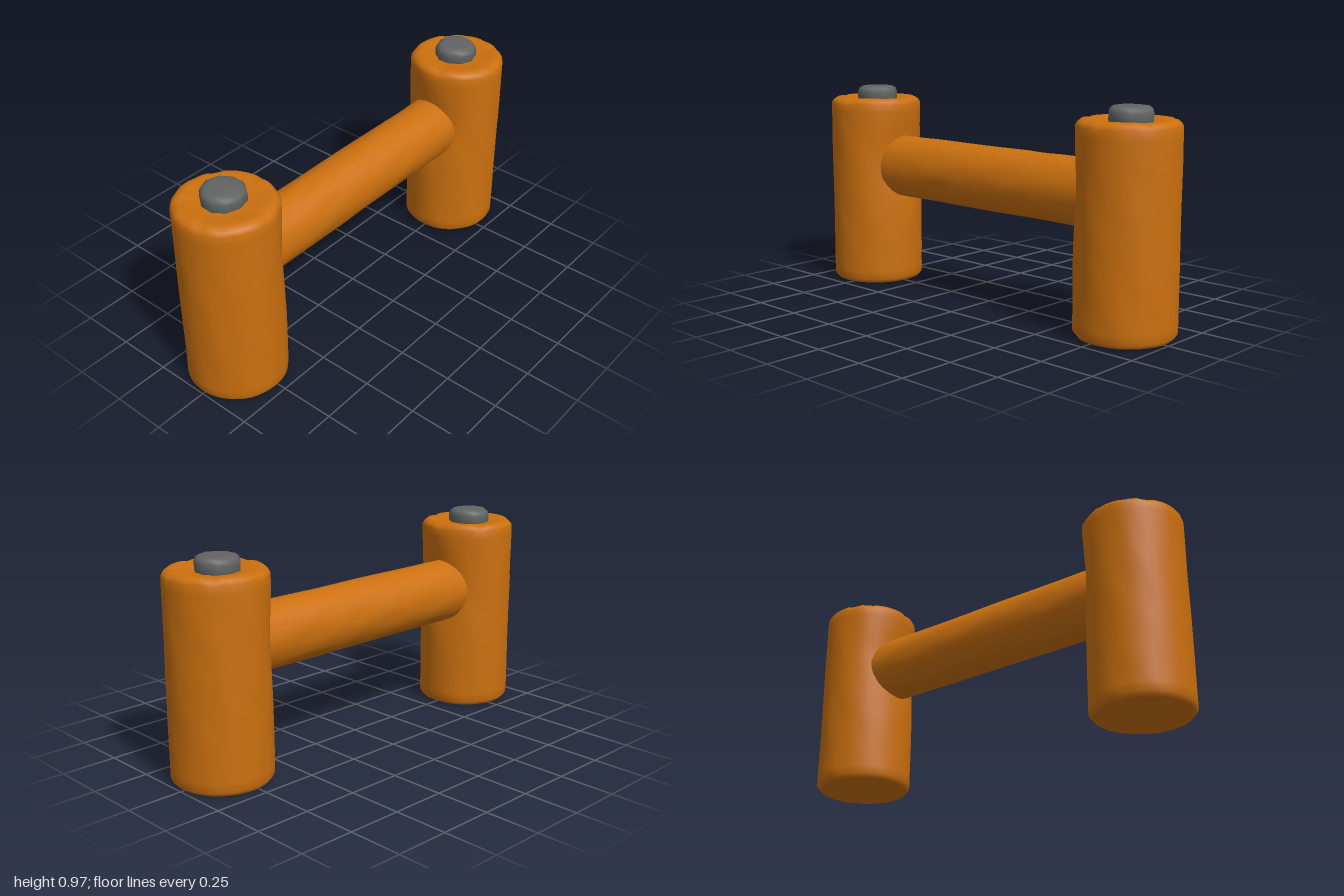
import * as THREE from 'three';
import { mergeVertices } from 'three/addons/utils/BufferGeometryUtils.js';

const POST_X = 0.78;

// Smooth closed lathe whose vertices can be moved by a rule(vertex, angle)
function carvedLathe(profile, sides, rule) {
  let geo = new THREE.LatheGeometry(profile.map(([r, y]) => new THREE.Vector2(r, y)), sides);
  geo.deleteAttribute('uv');
  geo.deleteAttribute('normal');
  geo = mergeVertices(geo, 1e-5);
  const pos = geo.attributes.position;
  const v = new THREE.Vector3();
  for (let i = 0; i < pos.count; i++) {
    v.fromBufferAttribute(pos, i);
    rule(v, Math.atan2(v.x, v.z));
    pos.setXYZ(i, v.x, v.y, v.z);
  }
  geo.computeVertexNormals();
  return geo;
}

// Long shallow grain marks running along the log
function grain(angle, along, seed) {
  const a = Math.sin(5 * angle + 4 * along + seed) * Math.sin(7 * along + 2 * angle + seed * 2);
  const b = Math.sin(11 * angle - 5 * along + seed * 3) * Math.sin(13 * along + 3 * angle);
  return -0.003 * (1 - a) * 0.5 - 0.005 * Math.max(0, b - 0.45);
}

function scaleRadius(v, amount) {
  const r = Math.hypot(v.x, v.z);
  if (r < 1e-4) return;
  const k = (r + amount) / r;
  v.x *= k;
  v.z *= k;
}

// Evenly spaced profile points along a straight side
function side(r, y0, y1, n) {
  return Array.from({ length: n + 1 }, (_, i) => [r, y0 + (y1 - y0) * i / n]);
}

function postGeometry(inward, seed) {
  const profile = [
    [0, 0.006], [0.15, 0.006], [0.158, 0.012], [0.166, 0.002], [0.195, 0], [0.208, 0.004],
    ...side(0.222, 0.022, 0.885, 22),
    [0.212, 0.9], [0.195, 0.911], [0.175, 0.914], [0.13, 0.906], [0.1, 0.9], [0, 0.9],
  ];
  return carvedLathe(profile, 48, (v, a) => {
    const r = Math.hypot(v.x, v.z);
    if (r > 0.2) {
      scaleRadius(v, grain(a, v.y, seed));
      // Worn hollow around the beam joint
      const facing = Math.max(0, inward * v.x / r);
      const near = Math.exp(-(((v.y - 0.62) / 0.17) ** 2));
      scaleRadius(v, -0.03 * near * facing ** 4);
    }
    // Chipped top rim
    if (v.y > 0.88 && r > 0.16) v.y -= 0.008 * Math.max(0, Math.sin(9 * a + seed) * Math.sin(4 * a + 1));
  });
}

function beamGeometry() {
  const profile = [[0, -0.7], ...side(0.15, -0.7, 0.7, 40), [0, 0.7]];
  return carvedLathe(profile, 36, (v, a) => {
    scaleRadius(v, grain(a, v.y * 0.9, 2.1));
    v.z *= 0.91;
  });
}

function boltGeometry(seed) {
  const profile = [
    [0, 0.89], [0.09, 0.89], [0.097, 0.905], [0.097, 0.935],
    [0.092, 0.952], [0.077, 0.963], [0.055, 0.966], [0, 0.966],
  ];
  return carvedLathe(profile, 10, (v, a) => scaleRadius(v, 0.002 * Math.sin(3 * a + seed)));
}

export function createModel() {
  const wood = new THREE.MeshStandardMaterial({ color: 0xcb700f });
  wood.name = 'orange wood';
  const iron = new THREE.MeshStandardMaterial({ color: 0x626464 });
  iron.name = 'dark grey iron';

  const model = new THREE.Group();
  model.name = 'logBarrier';
  const add = (name, geo, mat, x = 0, y = 0, z = 0) => {
    const mesh = new THREE.Mesh(geo, mat);
    mesh.name = name;
    mesh.position.set(x, y, z);
    model.add(mesh);
    return mesh;
  };

  // Upright logs with a bolt head on each
  for (const [s, label] of [[1, 'left'], [-1, 'right']]) {
    add(label + 'Post', postGeometry(-s, 1 + s * 0.7), wood, s * POST_X);
    add(label + 'Bolt', boltGeometry(s), iron, s * POST_X, 0, -0.01);
  }

  // Horizontal log let into both posts
  add('crossBeam', beamGeometry(), wood, 0, 0.58, -0.01).rotation.z = Math.PI / 2;

  return model;
}
